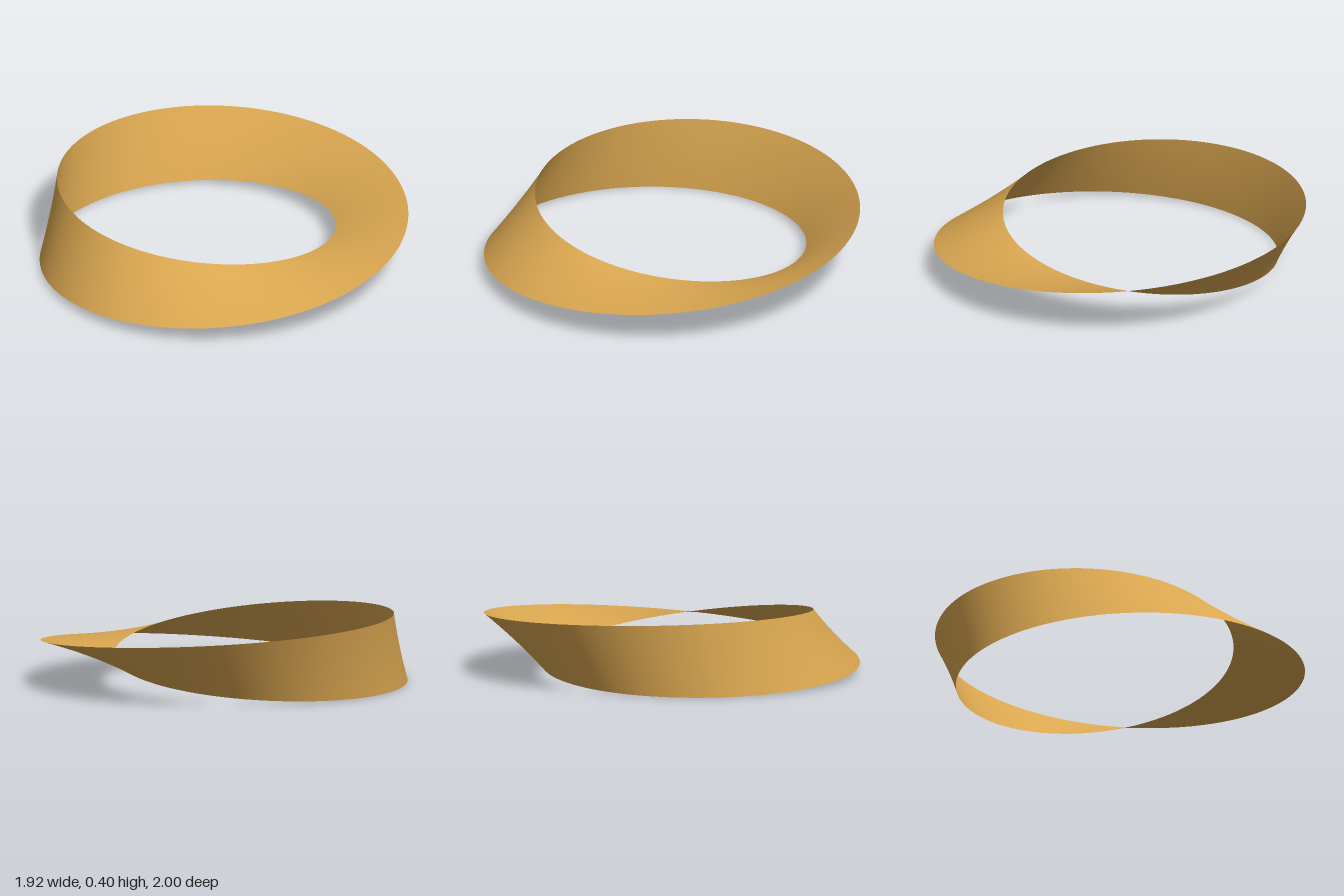
import * as THREE from 'three';
import { ParametricGeometry } from 'three/addons/geometries/ParametricGeometry.js';

const RADIUS = 0.857;     // centre line of the band
const HALF_WIDTH = 0.198; // half the width of the band

// Band with a single half twist: flat at +x, upright at -x
function twistedBand(s, t, target) {
  const u = s * Math.PI * 2;
  const v = (t * 2 - 1) * HALF_WIDTH;
  const r = RADIUS + v * Math.cos(u / 2);
  target.set(
    r * Math.cos(u) - HALF_WIDTH / 2,
    HALF_WIDTH + v * Math.sin(u / 2),
    -r * Math.sin(u)
  );
}

export function createModel() {
  const group = new THREE.Group();
  group.name = 'mobiusStrip';

  const material = new THREE.MeshStandardMaterial({ color: 0xd9a650, side: THREE.DoubleSide });
  const band = new THREE.Mesh(new ParametricGeometry(twistedBand, 200, 16), material);
  band.name = 'twistedBand';
  group.add(band);

  return group;
}
